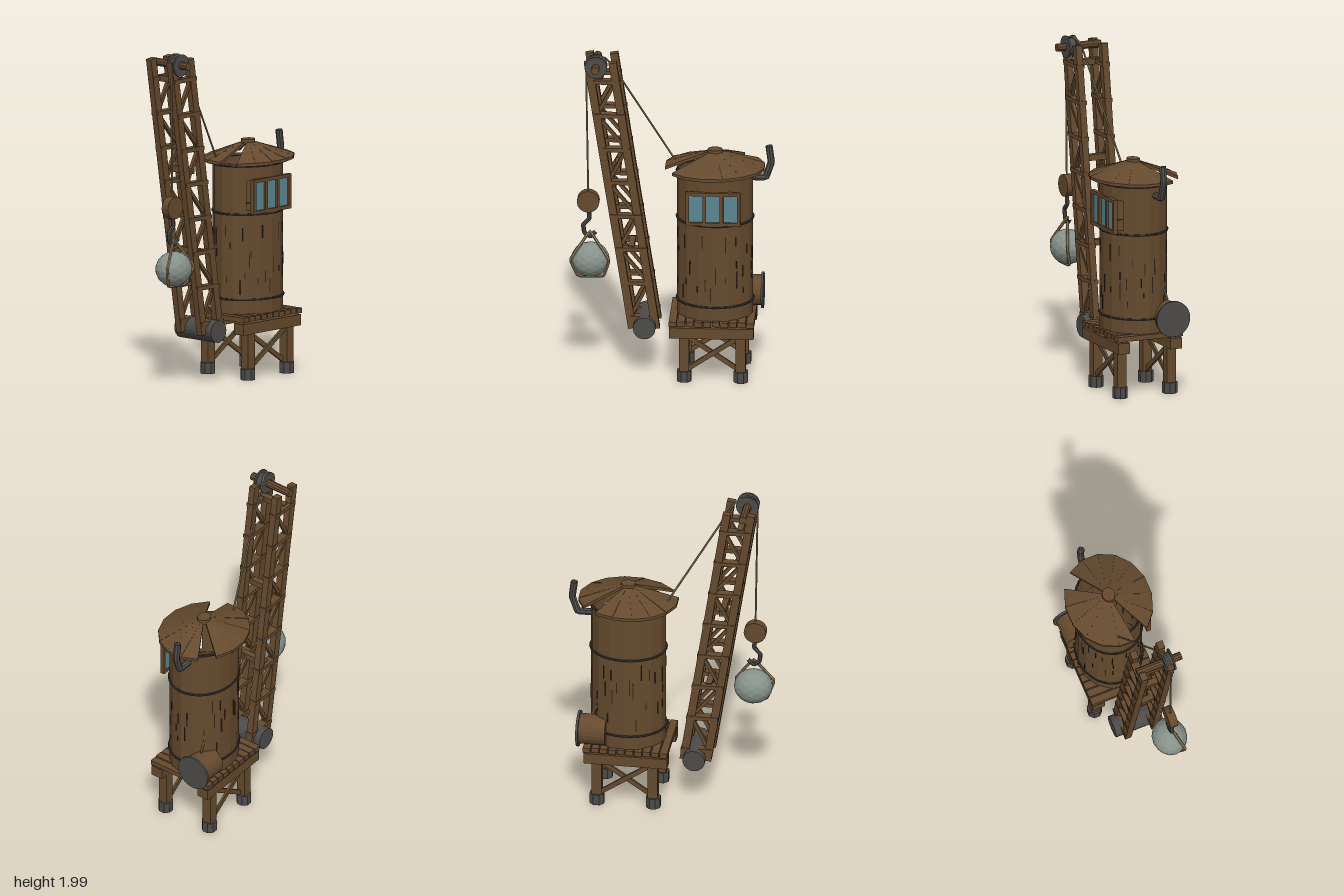
import * as THREE from 'three';

const mat = (name, color, extra = {}) =>
  new THREE.MeshStandardMaterial({ name, color, flatShading: true, ...extra });

export function createModel() {
  const model = new THREE.Group();
  model.name = 'woodenCrane';
  const wood = mat('wood', 0x654a2e, { side: THREE.DoubleSide });
  const crack = mat('darkCrack', 0x2e2418);
  const iron = mat('iron', 0x4c4b49);
  const band = mat('bandIron', 0x353433);
  const rope = mat('rope', 0x93805f);
  const glass = mat('glass', 0x5a8893);
  const stone = mat('stone', 0x87928c);

  const add = (parent, name, geo, m, x = 0, y = 0, z = 0) => {
    const mesh = new THREE.Mesh(geo, m);
    mesh.name = name;
    mesh.position.set(x, y, z);
    parent.add(mesh);
    return mesh;
  };
  const group = (name) => {
    const g = new THREE.Group();
    g.name = name;
    model.add(g);
    return g;
  };
  const box = (p, name, m, w, h, d, x, y, z) =>
    add(p, name, new THREE.BoxGeometry(w, h, d), m, x, y, z);
  // Beam between two points of an upright plane at depth z
  const beam = (p, name, [x1, y1], [x2, y2], z, w, d) => {
    const b = box(p, name, wood, Math.hypot(x2 - x1, y2 - y1), w, d, (x1 + x2) / 2, (y1 + y2) / 2, z);
    b.rotation.z = Math.atan2(y2 - y1, x2 - x1);
  };
  // Cylinder lying along the x or z axis
  const rod = (p, name, m, r, len, axis, x, y, z, sides = 16) => {
    const g = new THREE.CylinderGeometry(r, r, len, sides);
    if (axis === 'x') g.rotateZ(Math.PI / 2);
    else g.rotateX(Math.PI / 2);
    return add(p, name, g, m, x, y, z);
  };
  // Tube following straight runs between points
  const tube = (p, name, m, pts, r, sides = 6, closed = false) => {
    const path = new THREE.CatmullRomCurve3(
      pts.map((q) => new THREE.Vector3(...q)), closed, 'catmullrom', 0.05);
    add(p, name, new THREE.TubeGeometry(path, pts.length * 8, r, sides, closed), m);
  };
  let seed = 7;
  const rand = () => (seed = (seed * 16807) % 2147483647) / 2147483647;

  // Platform: legs, feet, braces, beams and deck planks
  const platform = group('platform');
  for (const z of [-0.16, 0.16]) {
    for (const x of [0.08, 0.412]) {
      box(platform, 'leg', wood, 0.058, 0.27, 0.058, x, 0.155, z);
      const foot = new THREE.CylinderGeometry(0.045, 0.045, 0.066, 8);
      foot.rotateY(Math.PI / 8);
      add(platform, 'foot', foot, iron, x, 0.037, z);
    }
    box(platform, 'sideBeam', wood, 0.495, 0.065, 0.075, 0.24, 0.312, z * 1.05);
    beam(platform, 'brace', [0.1, 0.08], [0.39, 0.275], z + 0.008, 0.028, 0.014);
    beam(platform, 'brace', [0.1, 0.275], [0.39, 0.08], z - 0.008, 0.028, 0.014);
  }
  for (let i = 0; i < 10; i++)
    box(platform, 'deckPlank', wood, 0.044, 0.03, 0.42, 0.014 + i * 0.0505, 0.368 + (i % 3) * 0.002, 0);

  // Oval cabin, squashed in depth
  const cabin = group('cabin');
  cabin.position.x = 0.252;
  cabin.scale.z = 0.865;
  const R = 0.222;
  const wall = (name, y0, y1, start, segs) =>
    add(cabin, name, new THREE.CylinderGeometry(R, R, y1 - y0, segs, 1, true, start, segs * Math.PI / 8),
      wood, 0, (y0 + y1) / 2, 0);
  wall('lowerWall', 0.38, 1.0, 0, 16);
  wall('windowWall', 1.0, 1.175, Math.PI / 4, 12);
  wall('upperWall', 1.175, 1.275, 0, 16);
  for (const y of [0.47, 0.975, 1.26]) {
    const g = new THREE.TorusGeometry(R + 0.002, 0.007, 6, 32);
    g.rotateX(Math.PI / 2);
    add(cabin, 'hoop', g, band, 0, y, 0);
  }
  // Weathered slits in the planks
  for (let i = 0; i < 48; i++) {
    const len = 0.03 + rand() * 0.08;
    const g = new THREE.BoxGeometry(0.006, len, 0.006);
    g.translate((rand() - 0.5) * 0.07, 0.53 + rand() * 0.37, R * Math.cos(Math.PI / 16));
    g.rotateY(((i % 16) + 0.5) * Math.PI / 8);
    add(cabin, 'slit', g, crack);
  }
  // Roof of wedge boards with two boards missing
  for (let k = 0; k < 16; k++) {
    if (k === 7 || k === 14) continue;
    const g = new THREE.BoxGeometry(1, 1, 1);
    const p = g.attributes.position;
    const lift = rand() * 0.008;
    for (let i = 0; i < p.count; i++) {
      const inner = p.getX(i) < 0;
      const a = (k + p.getZ(i) * 0.995) * Math.PI / 8;
      const r = inner ? 0.03 : 0.295;
      p.setXYZ(i, r * Math.cos(a), (inner ? 1.37 : 1.278 + lift) + p.getY(i) * 0.018, r * Math.sin(a));
    }
    add(cabin, 'roofBoard', g, wood);
  }
  add(cabin, 'roofCap', new THREE.CylinderGeometry(0.044, 0.046, 0.03, 12), wood, 0, 1.377, 0);

  // Window with three panes
  const win = group('window');
  box(win, 'glassSheet', glass, 0.3, 0.18, 0.008, 0.25, 1.085, 0.182);
  for (const x of [0.1, 0.2, 0.3, 0.4])
    box(win, 'windowPost', wood, 0.02, 0.2, 0.026, x, 1.085, 0.187);
  for (const y of [0.992, 1.178])
    box(win, 'windowRail', wood, 0.32, 0.02, 0.026, 0.25, y, 0.187);

  // Chimney pipe
  const chimney = group('chimney');
  tube(chimney, 'chimneyPipe', mat('pipeIron', 0x4c4b49, { side: THREE.DoubleSide }),
    [[0.44, 1.205, -0.044], [0.545, 1.205, -0.044], [0.578, 1.3, -0.044], [0.565, 1.4, -0.044]], 0.021, 8);

  // Winch drum
  const winch = group('winch');
  rod(winch, 'winchDrum', wood, 0.09, 0.16, 'x', 0.44, 0.47, -0.13, 20);
  rod(winch, 'winchDisc', iron, 0.107, 0.014, 'x', 0.524, 0.47, -0.13, 28);

  // Leaning boom: two trusses joined by cross bars
  const boom = group('boom');
  const leftX = (y) => -0.487 + (1.95 - y) * 0.157;
  const rightX = (y) => -0.343 + (1.95 - y) * 0.154;
  const rungs = [0.365, 0.58, 0.79, 0.995, 1.205, 1.41, 1.62, 1.83];
  for (const z of [-0.083, 0.083]) {
    beam(boom, 'boomRail', [leftX(0.3), 0.3], [leftX(1.95), 1.95], z, 0.047, 0.04);
    beam(boom, 'boomRail', [rightX(0.3), 0.3], [rightX(1.95), 1.95], z, 0.047, 0.04);
    rungs.forEach((y, i) => {
      beam(boom, 'rung', [leftX(y) - 0.02, y], [rightX(y) + 0.026, y], z, 0.024, 0.05);
      const top = rungs[i + 1];
      if (!top) return;
      if (i % 2) beam(boom, 'diagonal', [rightX(y), y], [leftX(top), top], z, 0.02, 0.022);
      else beam(boom, 'diagonal', [leftX(y), y], [rightX(top), top], z, 0.02, 0.022);
    });
  }
  for (const [x, y] of [[-0.42, 1.83], [-0.315, 1.28], [-0.235, 0.79]])
    box(boom, 'crossBar', wood, 0.036, 0.036, 0.17, x, y, 0);
  rod(boom, 'baseDrum', iron, 0.066, 0.292, 'z', -0.155, 0.315, 0, 20);

  // Pulley at the boom head
  const pulley = group('pulley');
  rod(pulley, 'axle', wood, 0.024, 0.28, 'z', -0.44, 1.925, 0.032, 10);
  rod(pulley, 'pulleyCore', iron, 0.05, 0.05, 'z', -0.44, 1.925, 0.085, 20);
  for (const z of [0.062, 0.112])
    rod(pulley, 'pulleyDisc', iron, 0.066, 0.01, 'z', -0.44, 1.925, z, 20);

  // Hoisting rope, block and hook
  const hoist = group('hoist');
  tube(hoist, 'hoistRope', rope, [
    [-0.485, 1.1, 0.085], [-0.498, 1.92, 0.085], [-0.48, 1.97, 0.085], [-0.44, 1.99, 0.083],
    [-0.37, 1.955, 0.05], [0.02, 1.3, -0.035], [0.45, 0.57, -0.13]], 0.006);
  rod(hoist, 'hoistBlock', wood, 0.066, 0.05, 'z', -0.485, 1.085, 0.085, 16);
  tube(hoist, 'hook', iron, [
    [-0.482, 1.03, 0.085], [-0.478, 0.975, 0.085], [-0.515, 0.935, 0.085], [-0.508, 0.885, 0.085],
    [-0.475, 0.862, 0.085], [-0.44, 0.895, 0.085]], 0.013, 8);

  // Boulder in its sling
  const load = group('load');
  const boulder = new THREE.IcosahedronGeometry(0.114, 2);
  boulder.scale(1, 0.92, 0.9);
  add(load, 'boulder', boulder, stone, -0.473, 0.72, 0.085);
  tube(load, 'sling', rope, [
    [-0.475, 0.895, 0.085], [-0.588, 0.735, 0.14], [-0.545, 0.625, 0.11],
    [-0.395, 0.625, 0.11], [-0.36, 0.735, 0.14]], 0.009, 6, true);

  return model;
}
